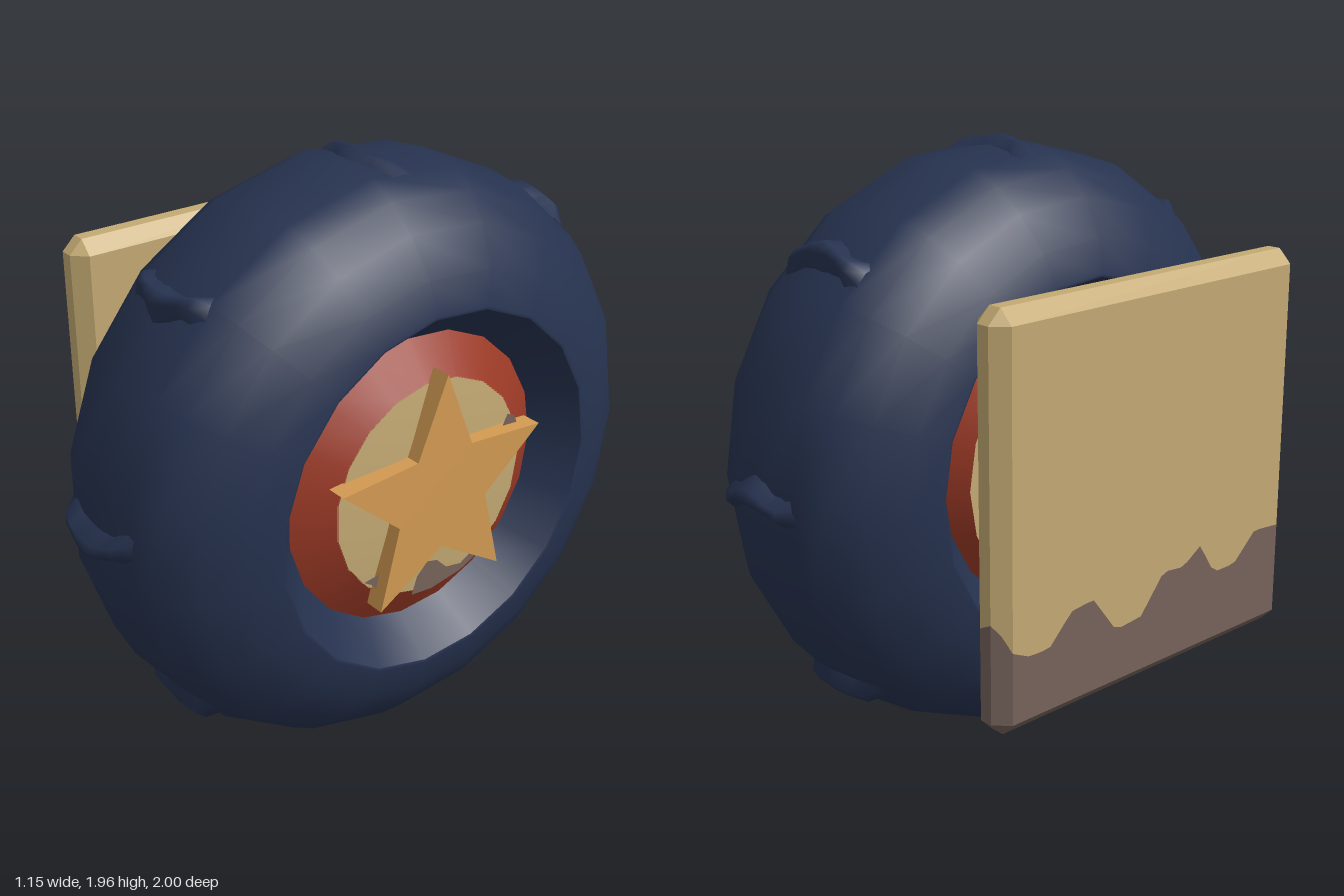
import * as THREE from 'three';
import { ConvexGeometry } from 'three/addons/geometries/ConvexGeometry.js';

const CY = 0.985; // height of the wheel axis
const SEG = 19;

export function createModel() {
  const mat = (name, color) => {
    const m = new THREE.MeshStandardMaterial({ color });
    m.name = name;
    return m;
  };
  const rubber = mat('navy rubber', 0x26324f);
  const red = mat('red hub paint', 0x9c3a26);
  const tan = mat('tan', 0xc4aa74);
  const grime = mat('brown grime', 0x76635a);
  const gold = mat('gold', 0xd39a52);

  const model = new THREE.Group();
  model.name = 'wheel';
  const add = (name, geo, material, x = 0, y = CY) => {
    const mesh = new THREE.Mesh(geo, material);
    mesh.name = name;
    mesh.position.set(x, y, 0);
    model.add(mesh);
    return mesh;
  };
  // Lathe turned about the x axis; profile points are [radius, x]
  const turn = (pts) => new THREE.LatheGeometry(
    pts.map(([r, x]) => new THREE.Vector2(r, x)), SEG, Math.PI).rotateZ(-Math.PI / 2);

  // Tyre: rounded tread and two sloping inner walls
  const half = [[0.967, 0], [0.947, 0.16], [0.9, 0.25], [0.82, 0.33], [0.705, 0.4], [0.6, 0.428], [0.59, 0.425]];
  const tread = [
    ...half.slice(1).reverse().map(([r, x]) => [r, 0.145 - x]),
    ...half.map(([r, x]) => [r, 0.145 + x]),
  ];
  add('tyreTread', turn(tread), rubber);
  add('tyreInnerWallRight', turn([[0.47, -0.13], [0.59, -0.28]]), rubber);
  add('tyreInnerWallLeft', turn([[0.59, 0.57], [0.47, 0.42]]), rubber);

  // Eight bone-shaped tread lugs
  for (let k = 0; k < 8; k++) {
    const geo = lug(k % 4 === 0 ? 0.981 : 1.0);
    geo.rotateX(k * Math.PI / 4);
    add('treadLug', geo, rubber, 0.145);
  }

  // Hub: red rim cones, domed cap, back disc and axle
  add('hubRim', turn([[0.49, 0.43], [0.36, 0.513]]), red);
  add('hubCap', turn([[0.362, 0.512], [0.2, 0.526], [0, 0.53]]), tan);
  add('hubBackRim', turn([[0.45, -0.23], [0.5, -0.14]]), red);
  add('hubBackDisc', turn([[0, -0.24], [0.455, -0.235]]), tan);
  add('axle', turn([[0.38, -0.45], [0.425, -0.31], [0.42, -0.2]]), red);

  // Grime patches; outlines in (-z, y) about the axis
  const patches = [
    [[-0.08, -0.35], [-0.06, -0.29], [-0.02, -0.25], [0.02, -0.26], [0.06, -0.3], [0.12, -0.31], [0.17, -0.28], [0.2, -0.295], [0.12, -0.335], [0, -0.357]],
    [[-0.27, -0.23], [-0.24, -0.25], [-0.21, -0.285], [-0.19, -0.3], [-0.17, -0.24], [-0.2, -0.22]],
    [[0.27, 0.13], [0.29, 0.17], [0.32, 0.155], [0.335, 0.12], [0.3, 0.1]],
  ];
  for (const p of patches) {
    const geo = new THREE.ShapeGeometry(new THREE.Shape(p.map(([u, v]) => new THREE.Vector2(u, v))));
    add('hubGrime', geo.rotateY(Math.PI / 2), grime, 0.532);
  }
  const arc = new THREE.RingGeometry(0.3, 0.453, 12, 1, Math.PI * 1.22, Math.PI * 0.56);
  add('hubBackGrime', arc.rotateY(-Math.PI / 2), grime, -0.243);

  // Five-pointed star
  const star = new THREE.Shape();
  for (let i = 0; i < 10; i++) {
    const a = Math.PI / 2 + i * Math.PI / 5, r = i % 2 ? 0.18 : 0.405;
    star[i ? 'lineTo' : 'moveTo'](r * Math.cos(a), r * Math.sin(a));
  }
  star.closePath();
  add('star', new THREE.ExtrudeGeometry(star, { depth: 0.067, bevelEnabled: false }).rotateY(Math.PI / 2), gold, 0.508);

  // Mounting plate: chamfered block whose sides split along a ragged line
  const H = 0.0675, Z = 0.64, C = 0.045, x0 = -0.508, y0 = 0.345, y1 = 1.625;
  const corners = [[-H + C, Z], [H - C, Z], [H, Z - C], [H, C - Z], [H - C, -Z], [C - H, -Z], [-H, C - Z], [-H, Z - C]];
  const loop = [];
  corners.forEach(([x, z], i) => {
    const [nx, nz] = corners[(i + 1) % 8];
    const n = Math.abs(nz - z) > 0.5 ? 40 : 2;
    for (let j = 0; j < n; j++) loop.push([x + (nx - x) * j / n, z + (nz - z) * j / n]);
  });
  const backLine = [[-0.64, 0.73], [-0.595, 0.62], [-0.53, 0.59], [-0.45, 0.59], [-0.36, 0.68], [-0.27, 0.69], [-0.17, 0.56],
    [-0.06, 0.57], [0.04, 0.69], [0.13, 0.68], [0.21, 0.73], [0.28, 0.62], [0.38, 0.62], [0.48, 0.71], [0.595, 0.7], [0.64, 0.72]];
  const frontLine = [[-0.64, 0.66], [-0.5, 0.67], [-0.35, 0.6], [-0.2, 0.68], [0, 0.58], [0.2, 0.68], [0.35, 0.57], [0.5, 0.66], [0.64, 0.61]];
  const border = ([x, z]) => THREE.MathUtils.lerp(sample(backLine, z), sample(frontLine, z), (x / H + 1) / 2);
  add('plateLowerSides', skirt(loop, () => y0 + C, border), grime, x0, 0);
  add('plateUpperSides', skirt(loop, border, () => y1 - C), tan, x0, 0);
  const cap = (base, top) => new ConvexGeometry([
    ...corners.map(([x, z]) => new THREE.Vector3(x, base, z)),
    ...[[1, 1], [1, -1], [-1, 1], [-1, -1]].map(([a, b]) => new THREE.Vector3(a * (H - C), top, b * (Z - C))),
  ]);
  add('plateBottom', cap(y0 + C, y0), grime, x0, 0);
  add('plateTop', cap(y1 - C, y1), tan, x0, 0);
  return model;
}

// Linear interpolation along a list of [position, value]
function sample(line, t) {
  for (let i = 1; i < line.length; i++) {
    const [a, va] = line[i - 1], [b, vb] = line[i];
    if (t <= b) return va + (vb - va) * Math.max(0, (t - a) / (b - a));
  }
  return line[line.length - 1][1];
}

// Flat-faced wall round a loop of [x, z] points between two heights
function skirt(loop, low, high) {
  const pos = [];
  loop.forEach((p, i) => {
    const q = loop[(i + 1) % loop.length];
    const a = [p[0], low(p), p[1]], b = [q[0], low(q), q[1]];
    const c = [q[0], high(q), q[1]], d = [p[0], high(p), p[1]];
    pos.push(...a, ...b, ...c, ...a, ...c, ...d);
  });
  const geo = new THREE.BufferGeometry();
  geo.setAttribute('position', new THREE.Float32BufferAttribute(pos, 3));
  geo.computeVertexNormals();
  return geo;
}

// Curved lug lying across the tread, with its crest at the given radius
function lug(crest) {
  const pos = [], index = [], N = 8;
  for (let i = 0; i <= N; i++) {
    const u = i / N * 2 - 1;
    const base = 0.93 - 0.02 * u * u;
    const top = Math.abs(u) === 1 ? 0.935 : crest - 0.032 * u * u;
    const w = 0.06 + 0.015 * Math.cos(u * Math.PI * 2);
    const shift = 0.02 * Math.cos(u * Math.PI);
    for (const [s, r] of [[-1, base], [-0.3, top], [0.3, top], [1, base]]) pos.push(0.172 * u, r, shift + s * w);
  }
  for (let i = 0; i < N; i++) for (let j = 0; j < 3; j++) {
    const a = i * 4 + j;
    index.push(a, a + 1, a + 4, a + 1, a + 5, a + 4);
  }
  const geo = new THREE.BufferGeometry();
  geo.setAttribute('position', new THREE.Float32BufferAttribute(pos, 3));
  geo.setIndex(index);
  geo.computeVertexNormals();
  return geo;
}
